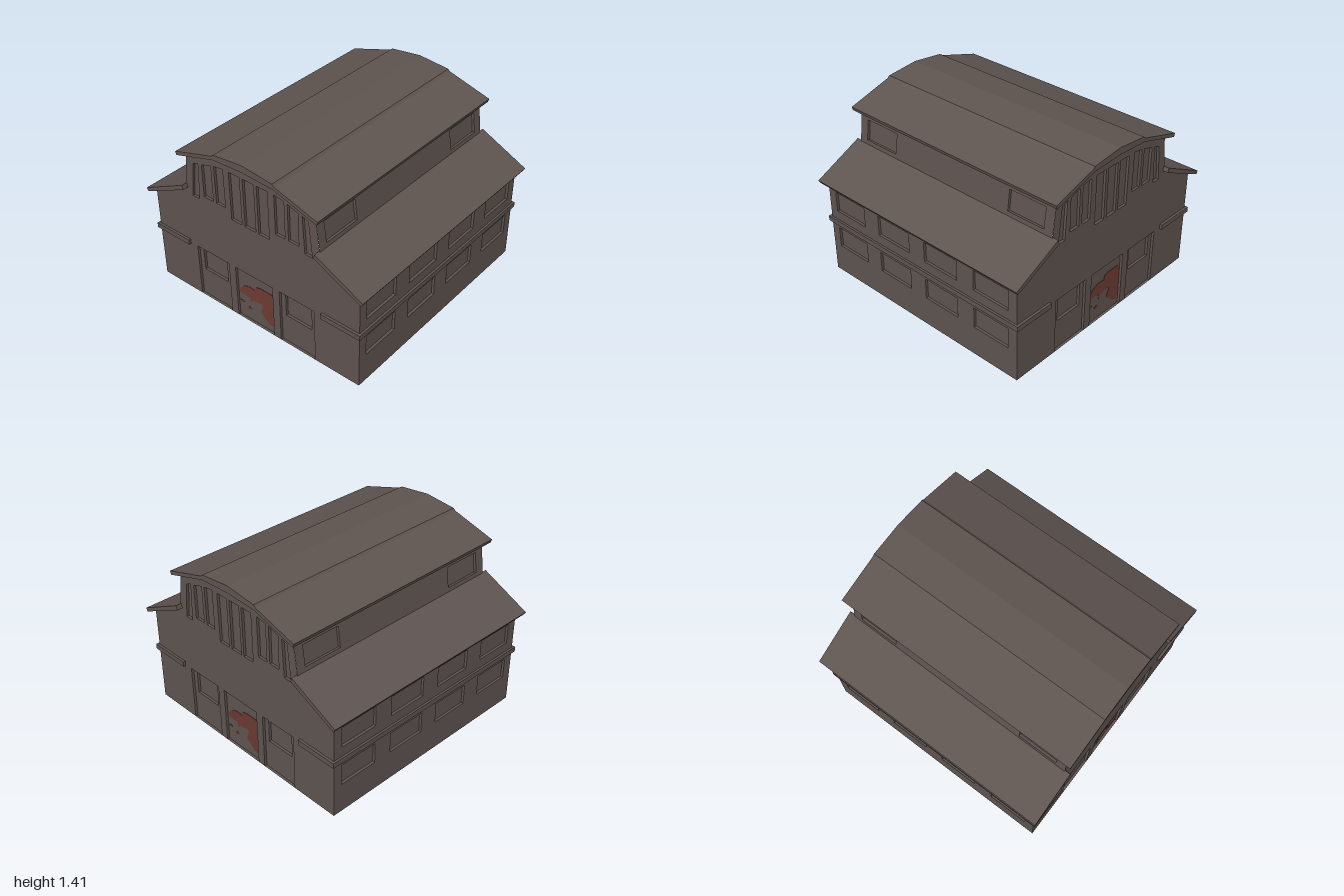
import * as THREE from 'three';

const brown = new THREE.MeshStandardMaterial({ color: 0x5e5450, side: THREE.DoubleSide });
brown.name = 'weathered brown';
const red = new THREE.MeshStandardMaterial({ color: 0x6c3a32, side: THREE.DoubleSide });
red.name = 'rust red';

const HALF_X = 0.943, HALF_Z = 0.935, ROOF_Z = 0.98, DEPTH = 0.02;

const toShape = pts => new THREE.Shape(pts.map(p => new THREE.Vector2(...p)));
const rect = (x0, y0, x1, y1) => [[x0, y0], [x1, y0], [x1, y1], [x0, y1]];
const flip = pts => pts.map(([x, y]) => [-x, y]).reverse();

function add(parent, name, geometry, material = brown) {
  const mesh = new THREE.Mesh(geometry, material);
  mesh.name = name;
  parent.add(mesh);
  return mesh;
}

// flat sheet with openings cut out
function sheet(outline, holes) {
  const shape = toShape(outline);
  holes.forEach(h => shape.holes.push(toShape(h)));
  return new THREE.ShapeGeometry(shape);
}

// side faces of a recess, running back from z = 0
function reveal(pts, depth) {
  const pos = [];
  pts.forEach(([x0, y0], i) => {
    const [x1, y1] = pts[(i + 1) % pts.length];
    pos.push(x0, y0, 0, x1, y1, -depth, x1, y1, 0);
    pos.push(x0, y0, 0, x0, y0, -depth, x1, y1, -depth);
  });
  const g = new THREE.BufferGeometry();
  g.setAttribute('position', new THREE.Float32BufferAttribute(pos, 3));
  g.computeVertexNormals();
  return g;
}

// wall facing +z with recessed panes
function wall(name, outline, windows, openings = []) {
  const group = new THREE.Group();
  group.name = name;
  add(group, 'wallSheet', sheet(outline, windows.concat(openings)));
  windows.forEach(w => {
    add(group, 'windowReveal', reveal(w, DEPTH));
    add(group, 'windowPane', sheet(w, [])).position.z = -DEPTH;
  });
  return group;
}

// slab with a constant section along z
function slab(profile, halfLength) {
  const g = new THREE.ExtrudeGeometry(toShape(profile), { depth: 2 * halfLength, bevelEnabled: false });
  return g.translate(0, 0, -halfLength);
}

// rust patch on the middle door
const stain = [
  [[-0.165, 0.215], [-0.16, 0.25], [-0.125, 0.29], [-0.07, 0.31], [-0.01, 0.305], [0, 0.34],
    [0.05, 0.352], [0.15, 0.35], [0.17, 0.335], [0.17, 0.085], [0.145, 0.05], [0.11, 0.06],
    [0.07, 0.095], [0.035, 0.13], [0.06, 0.19], [0.045, 0.21], [-0.03, 0.2], [-0.06, 0.165], [-0.068, 0.21]],
  [[-0.165, 0.14], [-0.14, 0.145], [-0.125, 0.135], [-0.155, 0.118]],
  [[-0.105, 0.098], [-0.08, 0.12], [-0.06, 0.108], [-0.078, 0.09]],
];

function gableWall(name) {
  // right half of the outline, with doorways notched into the bottom edge
  const half = [[0.176, 0], [0.176, 0.445], [0.24, 0.445], [0.24, 0]];
  const notch = [[0.24, 0], [0.24, 0.445], [0.556, 0.445], [0.556, 0]];
  const right = [half[1], half[0], ...notch, [HALF_X, 0], [HALF_X, 0.79], [0.615, 0.955],
    [0.58, 1.24], [0.27, 1.34]];
  const outline = [...right, [0, 1.36], ...flip(right)];

  const sideWindows = [
    [[0.23, 0.94], [0.315, 0.94], [0.315, 1.242], [0.23, 1.255]],
    [[0.345, 0.94], [0.435, 0.94], [0.435, 1.205], [0.345, 1.235]],
    [[0.485, 0.9], [0.55, 0.9], [0.52, 1.18], [0.47, 1.2]],
  ];
  const windows = [rect(-0.176, 0.865, -0.078, 1.255), rect(-0.05, 0.865, 0.05, 1.255),
    rect(0.076, 0.865, 0.172, 1.255), ...sideWindows, ...sideWindows.map(flip)];
  const group = wall(name, outline, windows);

  // three doors set back in their doorways
  for (const [x0, x1, glazed] of [[-0.556, -0.24, true], [-0.176, 0.176, false], [0.24, 0.556, true]]) {
    const doorway = rect(x0, 0, x1, 0.445);
    const c = (x0 + x1) / 2;
    const panes = glazed ? [rect(c - 0.117, 0.24, c + 0.117, 0.436)] : [];
    const door = wall('door', doorway, panes);
    door.position.z = -DEPTH;
    group.add(door);
    add(group, 'doorReveal', reveal([doorway[1], doorway[2], doorway[3], doorway[0]], DEPTH));
  }
  stain.forEach(pts => {
    add(group, 'rustPatch', slab(pts, 0.003), red).position.z = -DEPTH;
  });
  return group;
}

export function createModel() {
  const model = new THREE.Group();
  model.name = 'barn';

  // gable ends
  for (const front of [true, false]) {
    const end = gableWall(front ? 'frontWall' : 'backWall');
    end.position.z = front ? HALF_Z : -HALF_Z;
    end.rotation.y = front ? 0 : Math.PI;
    model.add(end);
  }

  // long walls, clerestory, ledges and lower roofs
  const bays = [[-0.862, -0.548], [-0.396, -0.078], [0.074, 0.388], [0.544, 0.858]];
  for (const s of [1, -1]) {
    const lowWindows = [[0.235, 0.4], [0.55, 0.712]].flatMap(([y0, y1]) =>
      bays.map(([a, b]) => rect(a, y0, b, y1)));
    const low = wall('sideWall', rect(-HALF_Z, 0, HALF_Z, 0.79), lowWindows);
    low.position.x = s * HALF_X;
    low.rotation.y = s * Math.PI / 2;
    model.add(low);

    const high = wall('clerestoryWall', rect(-HALF_Z, 0, HALF_Z, 0.29),
      [bays[0], bays[3]].map(([a, b]) => rect(a, 0.065, b, 0.226)));
    high.position.set(s * 0.617, 0.95, 0);
    high.rotation.set(-Math.atan2(0.037, 0.29), s * Math.PI / 2, 0, 'YXZ');
    model.add(high);

    add(model, 'sideLedge', new THREE.BoxGeometry(0.025, 0.04, 1.91)).position.set(s * 0.9475, 0.455, 0);
    for (const e of [1, -1]) {
      add(model, 'cornerLedge', new THREE.BoxGeometry(0.335, 0.04, 0.025))
        .position.set(s * 0.7925, 0.455, e * 0.9425);
    }

    const eave = [[0.595, 0.95], [0.985, 0.765], [1, 0.79], [0.605, 0.985]];
    add(model, 'lowerRoof', slab(s > 0 ? eave : flip(eave), ROOF_Z));
  }

  // arched upper roof
  const top = [[0.628, 1.228], [0.636, 1.256], [0.28, 1.362], [0.262, 1.378]];
  const under = [[0.27, 1.336]];
  add(model, 'upperRoof', slab([...under.map(([x, y]) => [x, y]), ...top, [0, 1.406],
    ...flip(top), ...flip(under), [0, 1.35]], ROOF_Z));

  return model;
}
